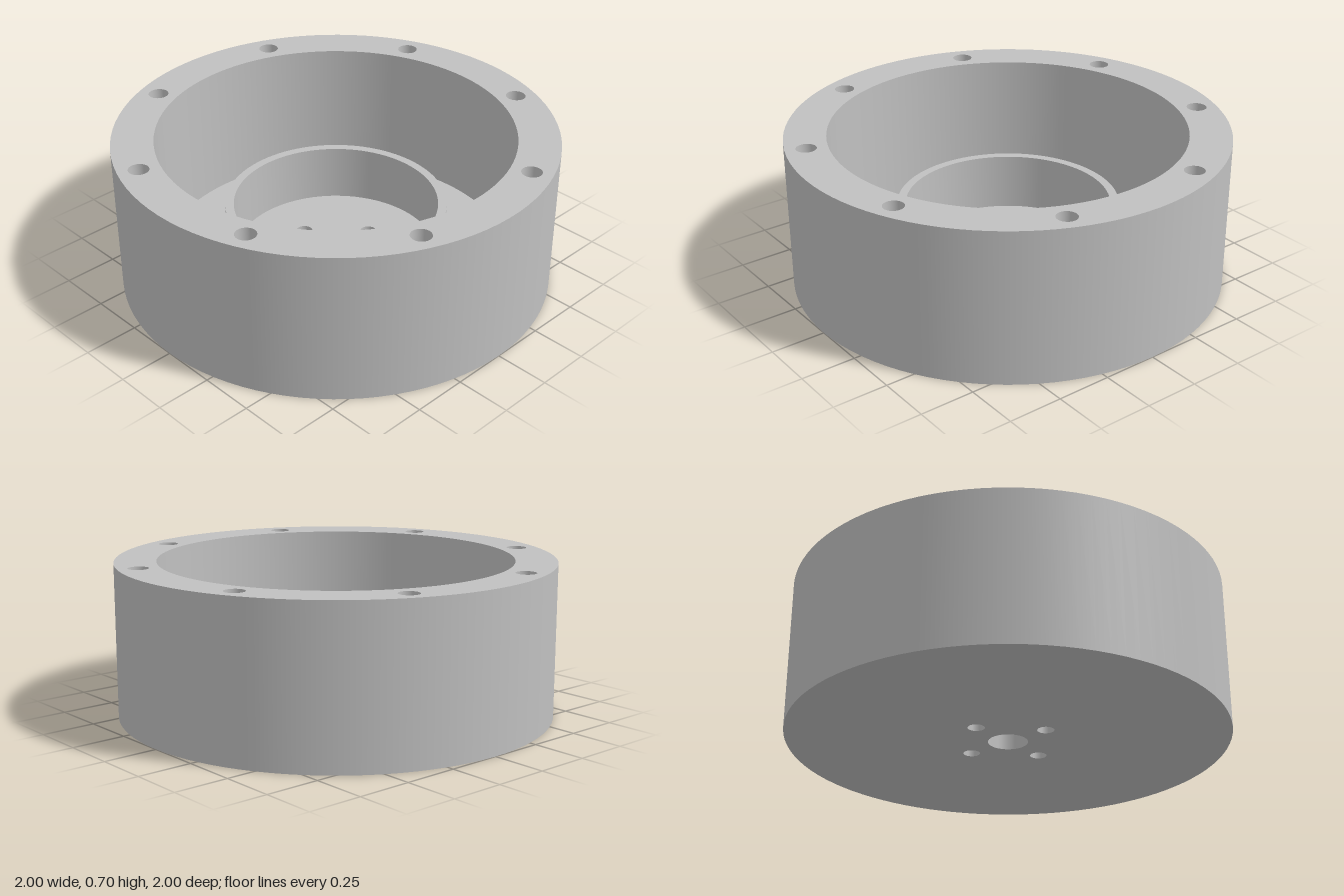
import * as THREE from 'three';

const SEG = 96;
const H = 0.705, FLOOR = 0.07, COLLAR = 0.34; // rim top, floor top, collar top
const R_OUT = 1, R_CAVITY = 0.81, R_COLLAR = 0.51, R_BORE = 0.47;
const BOLT_DEPTH = 0.2;

// count holes of radius r, spread on a circle of radius dist
function ringOfHoles(count, dist, r, start = 0) {
  return Array.from({ length: count }, (_, i) => {
    const a = start + (i / count) * Math.PI * 2;
    return { x: Math.cos(a) * dist, z: Math.sin(a) * dist, r };
  });
}

export function createModel() {
  const group = new THREE.Group();
  const metal = new THREE.MeshStandardMaterial({ color: 0xc0c0c0 });
  metal.name = 'plain grey metal';

  function add(name, geometry, x = 0, y = 0, z = 0) {
    const mesh = new THREE.Mesh(geometry, metal);
    mesh.name = name;
    mesh.position.set(x, y, z);
    group.add(mesh);
  }

  // Round wall: going up faces outward, going down faces inward
  function wall(name, r, yFrom, yTo, x = 0, z = 0) {
    const profile = [new THREE.Vector2(r, yFrom), new THREE.Vector2(r, yTo)];
    add(name, new THREE.LatheGeometry(profile, SEG), x, 0, z);
  }

  // Flat disc with round holes, facing up or down
  function disc(name, r, holes, y, up = true, x = 0, z = 0) {
    const shape = new THREE.Shape().absarc(0, 0, r, 0, Math.PI * 2);
    for (const h of holes) {
      shape.holes.push(new THREE.Path().absarc(h.x, h.z, h.r, 0, Math.PI * 2, true));
    }
    const geometry = new THREE.ShapeGeometry(shape, SEG / 2);
    geometry.rotateX(up ? -Math.PI / 2 : Math.PI / 2);
    add(name, geometry, x, y, z);
  }

  const centred = (r) => ({ x: 0, z: 0, r });
  const hubHoles = [centred(0.09), ...ringOfHoles(4, 0.217, 0.038)];
  const boltHoles = ringOfHoles(8, 0.905, 0.046, Math.PI / 8);

  // Outer drum and its bolted rim
  wall('outerWall', R_OUT, 0, H);
  disc('rim', R_OUT, [centred(R_CAVITY), ...boltHoles], H);
  wall('cavityWall', R_CAVITY, H, FLOOR);

  // Raised collar standing on the floor
  disc('cavityFloor', R_CAVITY, [centred(R_COLLAR)], FLOOR);
  wall('collarOuterWall', R_COLLAR, FLOOR, COLLAR);
  disc('collarTop', R_COLLAR, [centred(R_BORE)], COLLAR);
  wall('collarBore', R_BORE, COLLAR, FLOOR);

  // Hub floor and underside with through holes
  disc('hubFloor', R_BORE, hubHoles, FLOOR);
  disc('underside', R_OUT, hubHoles, 0, false);
  for (const h of hubHoles) wall('hubHoleWall', h.r, FLOOR, 0, h.x, h.z);

  // Blind bolt holes in the rim
  for (const h of boltHoles) {
    wall('boltHoleWall', h.r, H, H - BOLT_DEPTH, h.x, h.z);
    disc('boltHoleBottom', h.r, [], H - BOLT_DEPTH, true, h.x, h.z);
  }

  return group;
}
